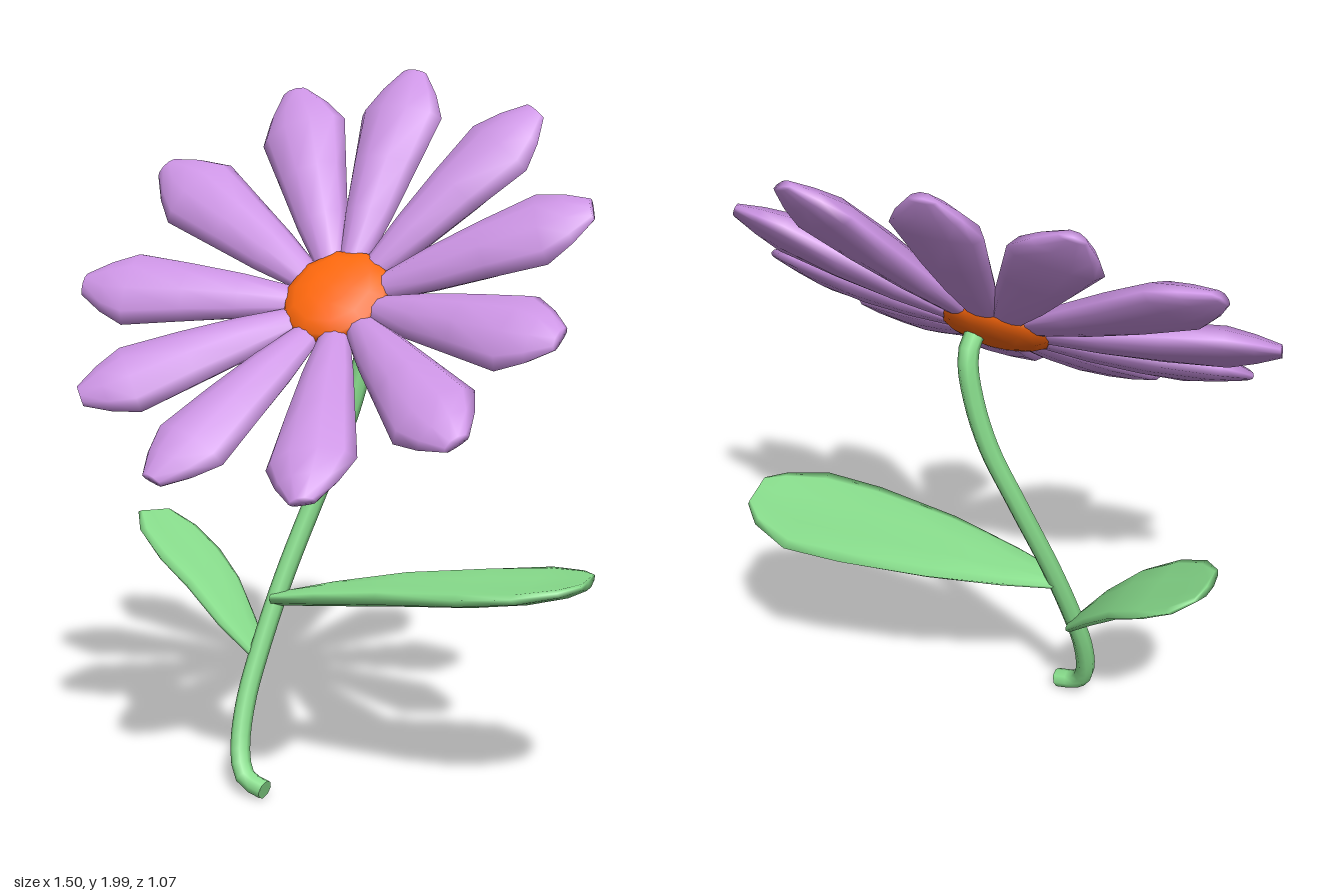
import * as THREE from 'three';

const V = (x, y, z) => new THREE.Vector3(x, y, z);
const SIDES = 10;

// Closed loft through stations [x, y, z, halfWidth, halfThickness];
// curl lifts (or drops, if negative) the edges of each cross-section along up.
function loft(stations, up, curl) {
  const first = V(...stations[0]), last = V(...stations.at(-1));
  const side = up.clone().cross(last.clone().sub(first)).normalize();
  const pos = [], index = [];
  for (const [x, y, z, w, t] of stations) {
    for (let j = 0; j < SIDES; j++) {
      const a = (j / SIDES) * Math.PI * 2, c = Math.cos(a);
      const p = V(x, y, z)
        .addScaledVector(side, w * c)
        .addScaledVector(up, t * Math.sin(a) + curl * w * (c * c - 0.5));
      pos.push(p.x, p.y, p.z);
    }
  }
  for (let i = 0; i < stations.length - 1; i++) {
    for (let j = 0; j < SIDES; j++) {
      const k = (j + 1) % SIDES;
      const a = i * SIDES + j, b = i * SIDES + k;
      index.push(a, b, b + SIDES, a, b + SIDES, a + SIDES);
    }
  }
  // end caps
  const n = stations.length, s = n * SIDES, end = (n - 1) * SIDES;
  pos.push(first.x, first.y, first.z, last.x, last.y, last.z);
  for (let j = 0; j < SIDES; j++) {
    const k = (j + 1) % SIDES;
    index.push(s, k, j, s + 1, end + j, end + k);
  }
  const g = new THREE.BufferGeometry();
  g.setAttribute('position', new THREE.Float32BufferAttribute(pos, 3));
  g.setIndex(index);
  g.computeVertexNormals();
  return g;
}

export function createModel() {
  const model = new THREE.Group();
  const green = new THREE.MeshStandardMaterial({ color: 0x8ae08e });
  const purple = new THREE.MeshStandardMaterial({ color: 0xcc94e4 });
  const orange = new THREE.MeshStandardMaterial({ color: 0xff680c });

  const add = (parent, name, geometry, material) => {
    const mesh = new THREE.Mesh(geometry, material);
    mesh.name = name;
    parent.add(mesh);
    return mesh;
  };

  // Flower head, tilted back so it looks up and forwards
  const head = new THREE.Group();
  head.name = 'flowerHead';
  head.position.set(-0.01, 1.39, -0.08);
  head.rotation.x = THREE.MathUtils.degToRad(-45.8);
  model.add(head);

  const disc = add(head, 'flowerCentre', new THREE.SphereGeometry(0.162, 10, 8).rotateX(Math.PI / 2), orange);
  disc.position.z = 0.003;
  disc.scale.z = 0.36;

  // Petals: slightly cupped, with edges rolled back, unevenly spaced
  const cup = (r) => 0.16 * (r - 0.1) - 0.005;
  const petal = loft([
    [0.11, 0.04, 0.022], [0.28, 0.075, 0.04], [0.44, 0.1, 0.048],
    [0.605, 0.126, 0.044], [0.68, 0.088, 0.031], [0.747, 0.038, 0.015],
  ].map(([r, w, t]) => [0, r, cup(r), w, t]), V(0, -0.158, 0.987), -0.16);
  const angles = [90, 118.5, 152, 187, 219, 251, 286.5, 319, 349, 22.5, 56];
  angles.forEach((deg, i) => {
    const mesh = add(head, `petal${i + 1}`, petal, purple);
    mesh.rotation.z = THREE.MathUtils.degToRad(deg - 90);
  });

  // Stem: hooked foot, long bow, nodding top
  const path = new THREE.CatmullRomCurve3([
    V(-0.1, 0.033, 0.178), V(-0.16, 0.05, 0.17), V(-0.182, 0.073, 0.16),
    V(-0.202, 0.13, 0.138), V(-0.208, 0.25, 0.095), V(-0.19, 0.4, 0.04),
    V(-0.15, 0.6, -0.03), V(-0.08, 0.85, -0.11), V(-0.015, 1.05, -0.158),
    V(0.02, 1.2, -0.175), V(0.037, 1.32, -0.172), V(0.035, 1.375, -0.145),
    V(0.025, 1.385, -0.1),
  ]);
  add(model, 'stem', new THREE.TubeGeometry(path, 40, 0.028, 8), green);
  const foot = add(model, 'stemEnd', new THREE.CircleGeometry(0.028, 8), green);
  foot.position.copy(path.getPointAt(0));
  foot.lookAt(foot.position.clone().sub(path.getTangentAt(0)));

  // Broad, gently rising, thick leaf
  add(model, 'leftLeaf', loft([
    [-0.17, 0.535, 0, 0.03, 0.018], [-0.02, 0.562, -0.025, 0.09, 0.026],
    [0.18, 0.593, -0.055, 0.15, 0.03], [0.42, 0.62, -0.08, 0.19, 0.03],
    [0.58, 0.64, -0.1, 0.195, 0.024], [0.69, 0.66, -0.105, 0.135, 0.019],
    [0.74, 0.675, -0.1, 0.07, 0.014],
  ], V(-0.15, 0.988, 0), 0.14), green);

  // Smaller, steeper leaf
  add(model, 'rightLeaf', loft([
    [-0.195, 0.365, 0.03, 0.03, 0.015], [-0.28, 0.455, 0.02, 0.08, 0.024],
    [-0.38, 0.55, -0.01, 0.115, 0.026], [-0.48, 0.615, -0.042, 0.135, 0.024],
    [-0.57, 0.67, -0.075, 0.122, 0.019], [-0.63, 0.712, -0.098, 0.07, 0.013],
  ], V(0.62, 0.785, 0), 0.14), green);

  return model;
}
